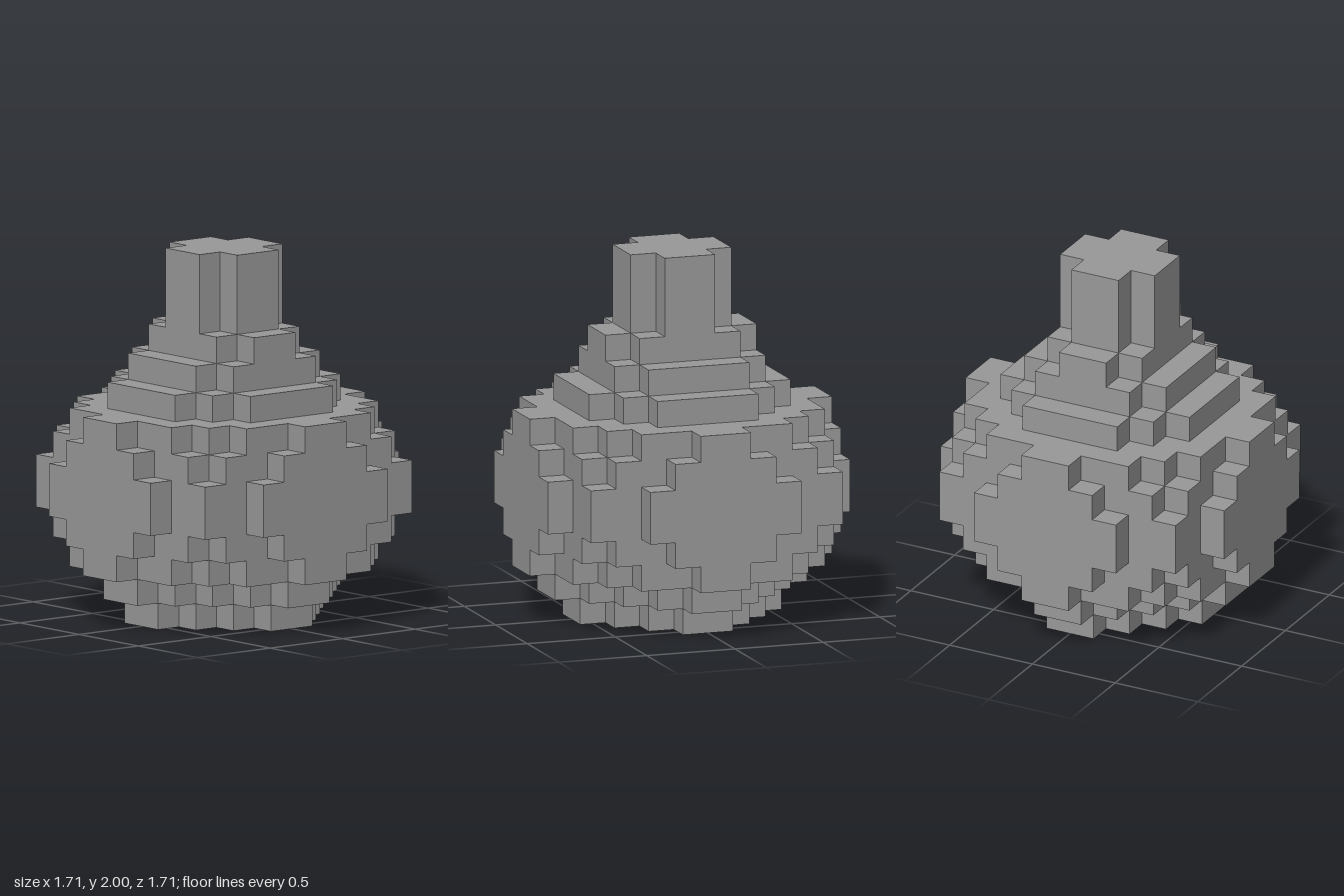
import * as THREE from 'three';

const U = 1 / 7; // edge of one block

// Full stepped outline from the outer corners [x, z] of one quadrant,
// listed from the z axis round to the x axis.
function outline(corners) {
  const quarter = [];
  corners.forEach(([x, z], i) => {
    if (i > 0) quarter.push([corners[i - 1][0], z]);
    quarter.push([x, z]);
  });
  const back = [...quarter].reverse();
  const points = [
    ...quarter,
    ...back.map(([x, z]) => [x, -z]),
    ...quarter.map(([x, z]) => [-x, -z]),
    ...back.map(([x, z]) => [-x, z]),
  ];
  return new THREE.Shape(points.map(([x, z]) => new THREE.Vector2(x * U, z * U)));
}

export function createModel() {
  const grey = new THREE.MeshStandardMaterial({ color: 0x999999 });
  grey.name = 'stone grey';

  // name, bottom block, height in blocks, quadrant corners
  const layers = [
    ['base', 0, 1, [[1, 4], [2, 3], [3, 2], [4, 1]]],
    ['lowerBowl', 1, 1, [[1, 5], [2, 4], [3, 3], [4, 2], [5, 1]]],
    ['bellyBottom', 2, 1, [[1, 6], [3, 5], [4, 4], [5, 3], [6, 1]]],
    ['bellyLower', 3, 1, [[2, 6], [4, 5], [5, 4], [6, 2]]],
    ['bellyMiddle', 4, 2, [[3, 6], [5, 5], [6, 3]]],
    ['bellyUpper', 6, 1, [[2, 6], [4, 5], [5, 4], [6, 2]]],
    ['bellyTop', 7, 1, [[1, 6], [3, 5], [4, 4], [5, 3], [6, 1]]],
    ['shoulder', 8, 1, [[2, 4], [3, 3], [4, 2]]],
    ['upperShoulder', 9, 1, [[2, 3], [3, 2]]],
    ['neckCollar', 10, 1, [[1, 3], [2, 2]]],
    ['neck', 11, 3, [[1, 2], [2, 1]]],
  ];

  const group = new THREE.Group();
  group.name = 'steppedFlask';
  for (const [name, bottom, height, corners] of layers) {
    const geometry = new THREE.ExtrudeGeometry(outline(corners), { depth: height * U, bevelEnabled: false });
    geometry.rotateX(-Math.PI / 2); // extrude upwards
    const mesh = new THREE.Mesh(geometry, grey);
    mesh.name = name;
    mesh.position.y = bottom * U;
    group.add(mesh);
  }
  return group;
}
